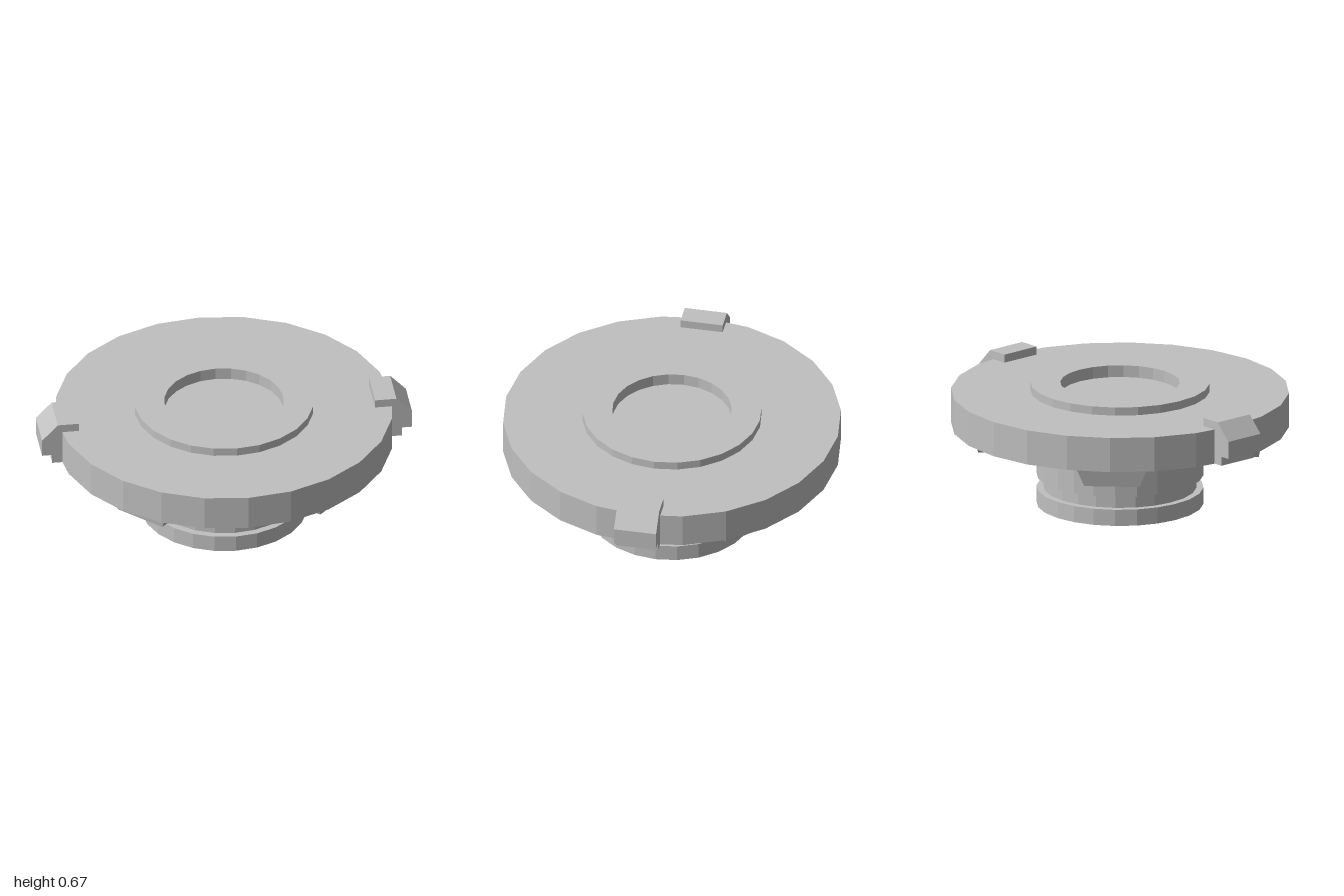
import * as THREE from 'three';

const SIDES = 24;

export function createModel() {
  const model = new THREE.Group();
  model.name = 'flangedCap';
  const grey = new THREE.MeshStandardMaterial({ color: 0xc0c0c0, flatShading: true });
  grey.name = 'plain grey';

  function add(name, geometry, parent = model) {
    const mesh = new THREE.Mesh(geometry, grey);
    mesh.name = name;
    parent.add(mesh);
    return mesh;
  }
  const lathe = (pts) =>
    new THREE.LatheGeometry(pts.map(([r, y]) => new THREE.Vector2(r, y)), SIDES);

  // Neck with a groove around its foot
  add('neck', lathe([
    [0, 0], [0.447, 0], [0.447, 0.09], [0.41, 0.09],
    [0.41, 0.16], [0.447, 0.16], [0.447, 0.435],
  ]));

  // Wide flange with a raised rim and a shallow round recess
  add('flange', lathe([
    [0.447, 0.435], [0.905, 0.435], [0.905, 0.625], [0.48, 0.625],
    [0.48, 0.67], [0.32, 0.67], [0.32, 0.605], [0, 0.605],
  ]));

  // Tapered lugs under the flange, on the diagonals
  for (let i = 0; i < 4; i++) {
    const lug = new THREE.BoxGeometry(0.4, 0.125, 0.12);
    const p = lug.attributes.position;
    for (let v = 0; v < p.count; v++) {
      if (p.getY(v) < 0) {
        p.setX(v, p.getX(v) * 0.74);
        p.setZ(v, p.getZ(v) * 0.65);
      }
    }
    lug.computeVertexNormals();
    lug.translate(0, 0.3725, 0.713);
    lug.rotateY(Math.PI / 4 + i * Math.PI / 2);
    add('lug' + (i + 1), lug);
  }

  // Hooked clips gripping the flange at left and right
  const profile = new THREE.Shape([
    [0.8, 0.435], [0.945, 0.435], [0.945, 0.485], [1, 0.485],
    [1, 0.58], [0.915, 0.67], [0.8, 0.67],
  ].map(([x, y]) => new THREE.Vector2(x, y)));
  for (const side of [1, -1]) {
    const clip = new THREE.ExtrudeGeometry(profile, { depth: 0.23, bevelEnabled: false });
    clip.translate(0, 0, -0.115);
    if (side < 0) clip.rotateY(Math.PI);
    add(side > 0 ? 'leftClip' : 'rightClip', clip);
  }
  return model;
}
